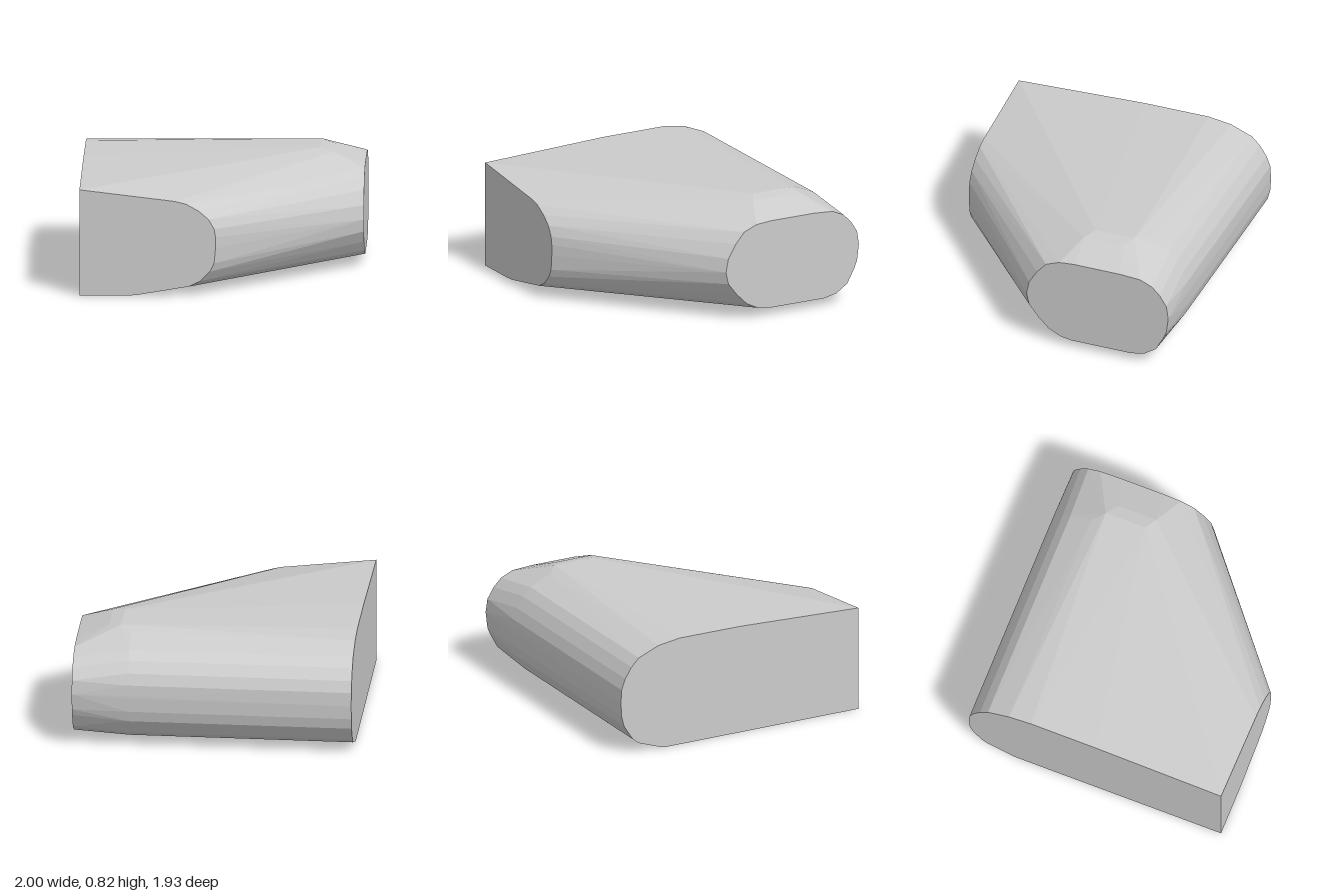
import * as THREE from 'three';
import { ConvexGeometry } from 'three/addons/geometries/ConvexGeometry.js';

export function createModel() {
  const group = new THREE.Group();
  group.name = 'angledBlock';
  const points = [];
  const add = (list, place) => list.forEach(([a, b]) => points.push(new THREE.Vector3(...place(a, b))));

  // Right-hand oval end at x = 1, as (z, y)
  add([
    [0.12, 0.38], [0.1, 0.48], [0.04, 0.58], [-0.03, 0.66], [-0.13, 0.7], [-0.25, 0.71],
    [-0.6, 0.71], [-0.75, 0.7], [-0.84, 0.66], [-0.9, 0.6], [-0.95, 0.52], [-0.965, 0.42],
    [-0.95, 0.3], [-0.93, 0.25], [-0.87, 0.14], [-0.78, 0.08], [-0.68, 0.06],
    [-0.22, 0.06], [-0.14, 0.075], [-0.05, 0.12], [0.03, 0.2], [0.1, 0.29],
  ], (z, y) => [1, y, z]);

  // Front end at z = 0.965, square on one side and rounded on the other, as (x, y)
  add([
    [-1, 0], [-0.68, 0], [-0.6, 0.005], [-0.22, 0.07], [-0.14, 0.11], [-0.07, 0.18],
    [-0.04, 0.24], [-0.03, 0.35], [-0.03, 0.43], [-0.04, 0.49], [-0.08, 0.56],
    [-0.15, 0.62], [-0.24, 0.67], [-0.32, 0.69], [-1, 0.77],
  ], (x, y) => [x, y, 0.965]);

  // Flat side at x = -1 with a rounded back edge, as (z, y)
  add([
    [0, 0.808], [-0.49, 0.81], [-0.66, 0.785], [-0.82, 0.72], [-0.88, 0.66], [-0.93, 0.58],
    [-0.96, 0.5], [-0.965, 0.4], [-0.96, 0.3], [-0.94, 0.22], [-0.87, 0.11], [-0.82, 0.07],
    [-0.65, 0.01], [-0.6, 0],
  ], (z, y) => [-1, y, z]);

  // Shoulder where the top begins to fall towards the oval end
  add([[0.68, -0.28], [0.68, -0.58]], (x, z) => [x, 0.817, z]);
  add([[0.77, -0.23], [0.77, -0.52]], (x, z) => [x, 0.797, z]);

  // Back edge rounding carried along to the shoulder
  add([
    [-0.66, 0.79], [-0.82, 0.72], [-0.88, 0.66], [-0.93, 0.58], [-0.96, 0.5], [-0.965, 0.4],
    [-0.96, 0.3], [-0.94, 0.22], [-0.87, 0.11], [-0.82, 0.07], [-0.65, 0.01],
  ], (z, y) => [0.6, y, z]);

  // Limit of the flat underside
  add([[0.48, -0.03], [0.48, -0.6]], (x, z) => [x, 0, z]);

  const body = new THREE.Mesh(
    new ConvexGeometry(points),
    new THREE.MeshStandardMaterial({ color: 0xcccccc, flatShading: true }),
  );
  body.name = 'body';
  group.add(body);
  return group;
}
